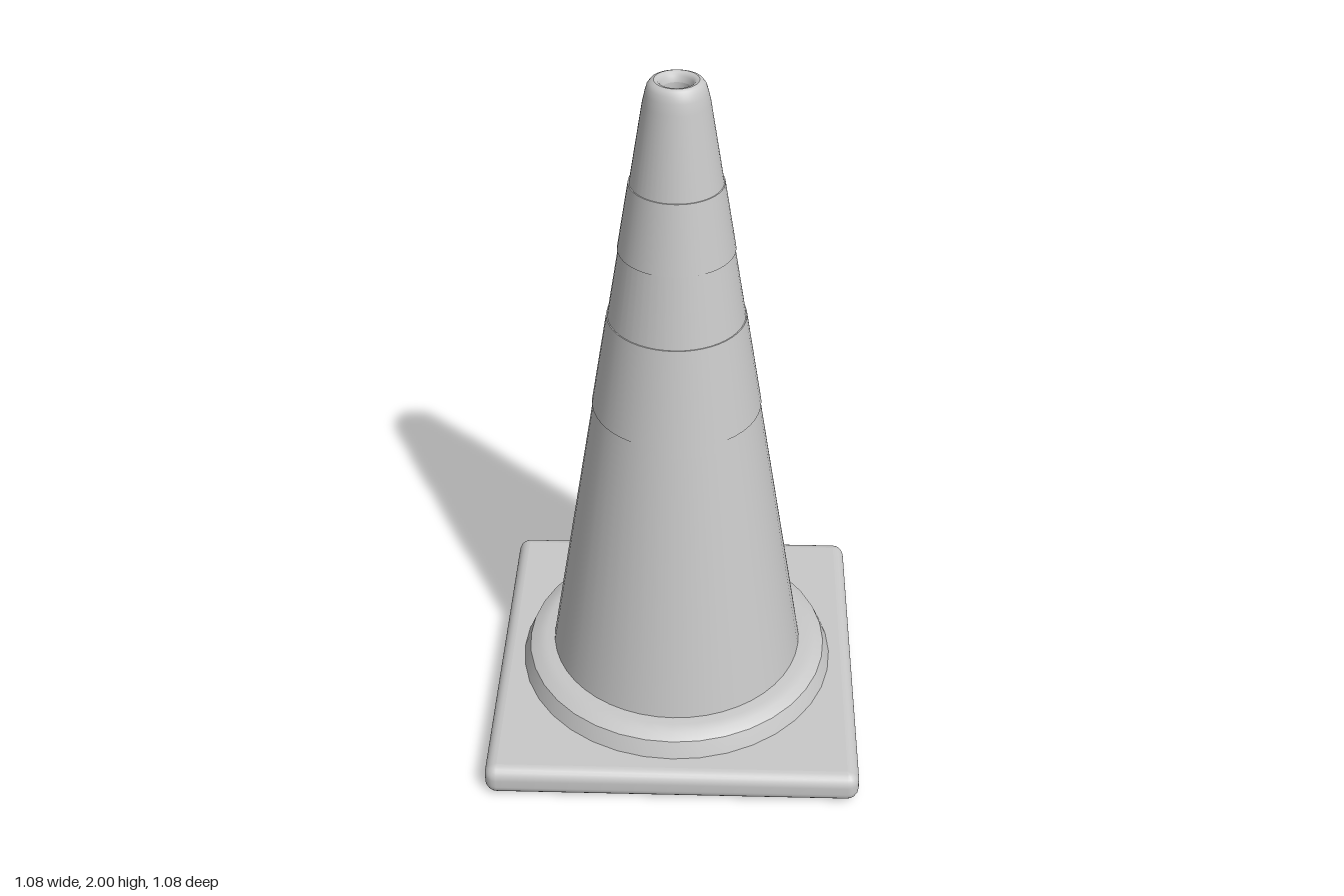
import * as THREE from 'three';

export function createModel() {
  const model = new THREE.Group();
  model.name = 'trafficCone';
  const grey = new THREE.MeshStandardMaterial({ color: 0xc8c8c8 });
  grey.name = 'grey';

  // Builds one mesh per profile: each is smooth, and separate profiles meet in a sharp edge.
  const addPart = (name, profiles, makeGeometry) => {
    const group = new THREE.Group();
    group.name = name;
    profiles.forEach((profile, i) => {
      const mesh = new THREE.Mesh(makeGeometry(profile), grey);
      mesh.name = `${name}Surface${i + 1}`;
      group.add(mesh);
    });
    model.add(group);
  };

  // Round parts: [radius, height] profiles
  const lathe = (segments) => (profile) =>
    new THREE.LatheGeometry(profile.map(([r, y]) => new THREE.Vector2(r, y)), segments);

  // Square parts: [half width, height] profiles swept around a square with rounded corners
  const squareSweep = (profile) => {
    const steps = 4, count = 4 * (steps + 1);
    const positions = [], indices = [];
    profile.forEach(([half, y], row) => {
      const radius = Math.min(half, Math.max(0.004, half - 0.505));
      for (let i = 0; i < count; i++) {
        const corner = Math.floor(i / (steps + 1));
        const angle = (corner + (i % (steps + 1)) / steps) * Math.PI / 2;
        const mid = (corner + 0.5) * Math.PI / 2;
        positions.push(
          Math.sign(Math.sin(mid)) * (half - radius) + radius * Math.sin(angle), y,
          Math.sign(Math.cos(mid)) * (half - radius) + radius * Math.cos(angle));
        if (row === 0) continue;
        const next = (i + 1) % count;
        const a = (row - 1) * count + i, b = (row - 1) * count + next;
        const c = row * count + next, d = row * count + i;
        indices.push(a, b, d, b, c, d);
      }
    });
    const geometry = new THREE.BufferGeometry();
    geometry.setAttribute('position', new THREE.Float32BufferAttribute(positions, 3));
    geometry.setIndex(indices);
    geometry.computeVertexNormals();
    return geometry;
  };

  // Square foot: hollow underside, rounded rim, flat top
  const rim = [];
  for (let i = 0; i <= 6; i++) {
    const a = (i / 6) * Math.PI / 2;
    rim.push([0.505 + 0.035 * Math.sin(a), 0.035 - 0.035 * Math.cos(a)]);
  }
  for (let i = 0; i <= 6; i++) {
    const a = (i / 6) * Math.PI / 2;
    rim.push([0.505 + 0.035 * Math.cos(a), 0.059 + 0.035 * Math.sin(a)]);
  }
  addPart('basePlate', [
    [[0, 0.07], [0.47, 0.07]],
    [[0.47, 0.07], [0.47, 0.035], [0.475, 0.018], [0.487, 0.005], [0.505, 0]],
    rim,
    [[0.505, 0.094], [0, 0.094]],
  ], squareSweep);

  // Stepped collar around the foot of the cone
  addPart('collar', [
    [[0.47, 0.09], [0.47, 0.095], [0.45, 0.142]],
    [[0.45, 0.142], [0.425, 0.156], [0.4, 0.163], [0.36, 0.165]],
  ], lathe(36));

  // Radius of the tapering body at a given height
  const bodyRadius = (y) => 0.375 - (y - 0.16) * 0.1615;

  // Hollow body: outer wall with rounded shoulder, top rim, inner wall
  addPart('coneBody', [
    [[bodyRadius(0.15), 0.15], [bodyRadius(1), 1], [bodyRadius(1.94), 1.94],
      [0.081, 1.968], [0.076, 1.985], [0.068, 1.996], [0.058, 2]],
    [[0.058, 2], [0.049, 1.998], [0.042, 1.99], [0.038, 1.975]],
    [[0.038, 1.975], [0.038, 1.93], [0.34, 0.094]],
  ], lathe(48));

  // Two slightly raised sleeves
  const lift = 0.003;
  [['lowerSleeve', 1.03, 1.315], ['upperSleeve', 1.52, 1.715]].forEach(([name, low, high]) => {
    const rl = bodyRadius(low), rh = bodyRadius(high);
    addPart(name, [
      [[rl - 0.002, low], [rl + lift, low]],
      [[rl + lift, low], [rh + lift, high]],
      [[rh + lift, high], [rh - 0.002, high]],
    ], lathe(48));
  });

  return model;
}
